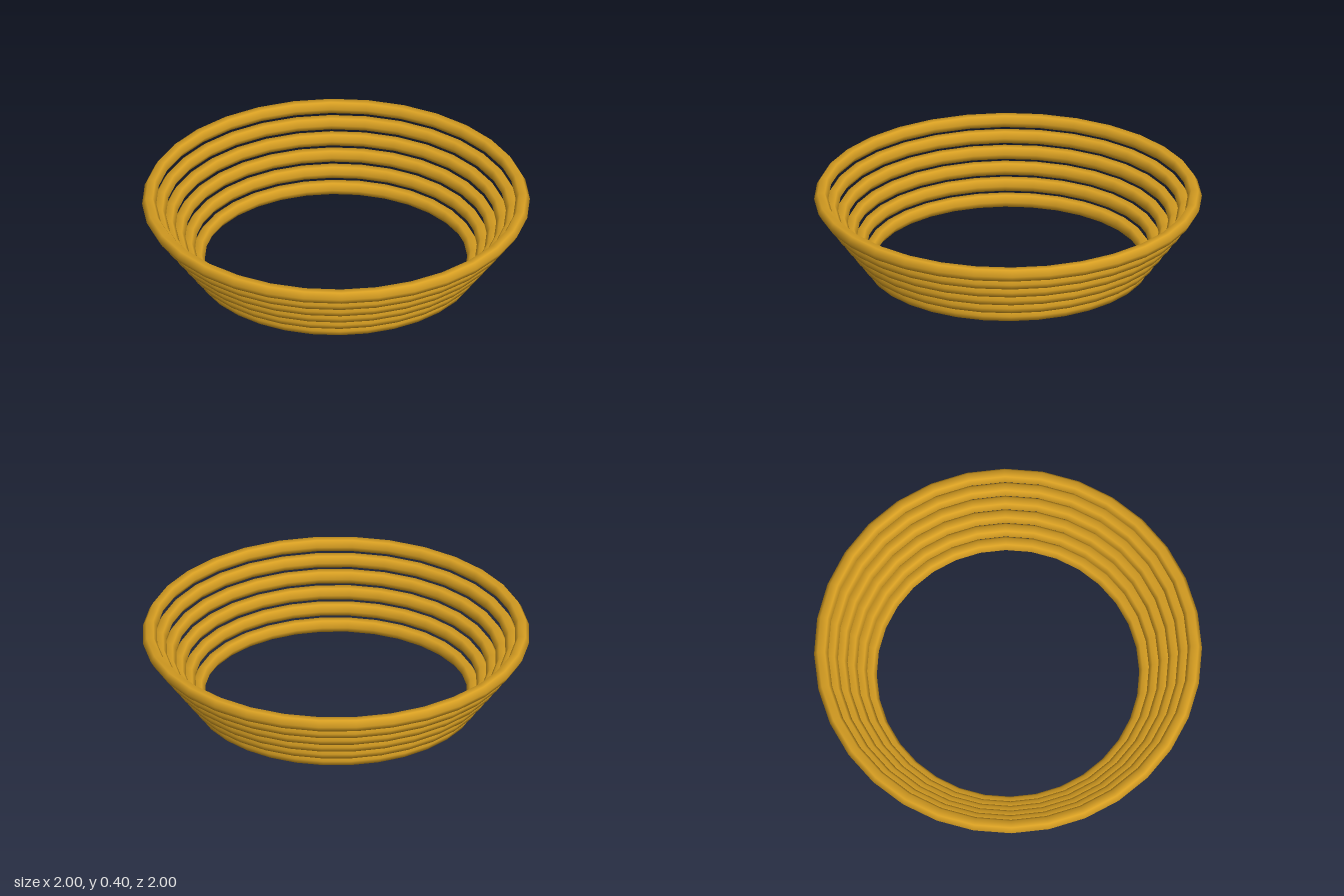
import * as THREE from 'three';

const RINGS = 6;
const TUBE = 0.0368;            // hexagonal tube radius
const TOP_RADIUS = 1 - TUBE;    // centre line of the widest ring
const STEP_IN = 0.05;           // each lower ring is this much narrower
const STEP_UP = 0.0674;
const HALF_HEIGHT = TUBE * Math.sin(Math.PI / 3);

export function createModel() {
  const model = new THREE.Group();
  model.name = 'ringBasket';

  const gold = new THREE.MeshStandardMaterial({ color: 0xd89f22 });
  gold.name = 'gold';

  // Stacked rings, widening towards the rim
  for (let i = 0; i < RINGS; i++) {
    const radius = TOP_RADIUS - (RINGS - 1 - i) * STEP_IN;
    const geometry = new THREE.TorusGeometry(radius, TUBE, 6, 32);
    geometry.rotateX(-Math.PI / 2);
    const ring = new THREE.Mesh(geometry, gold);
    ring.name = i === RINGS - 1 ? 'rimRing' : i === 0 ? 'baseRing' : `wallRing${i}`;
    ring.position.y = HALF_HEIGHT + i * STEP_UP;
    model.add(ring);
  }
  return model;
}
